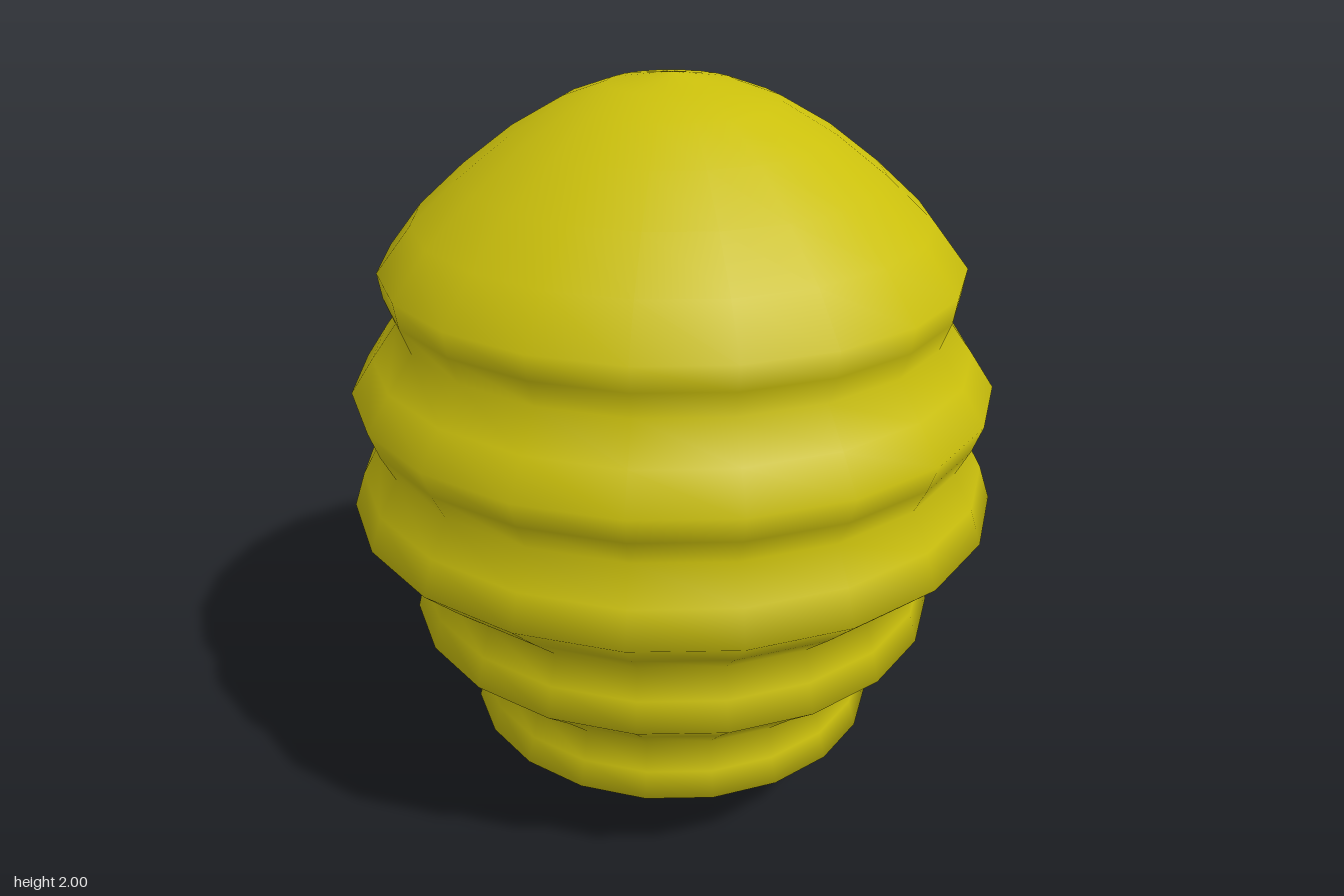
import * as THREE from 'three';

export function createModel() {
  const group = new THREE.Group();
  group.name = 'ribbedBulb';

  // Half outline [radius, height] from the bottom tip to the crown
  const profile = [
    [0, 0], [0.17, 0.05], [0.31, 0.105], [0.45, 0.17], [0.56, 0.25], // pointed base
    [0.54, 0.32], [0.52, 0.4], [0.61, 0.485], [0.71, 0.57], // first groove and rib
    [0.69, 0.65], [0.665, 0.73], [0.755, 0.81], [0.85, 0.9], // second groove and rib
    [0.82, 0.99], [0.77, 1.08], [0.805, 1.15], [0.83, 1.22], // third groove and rib
    [0.77, 1.31], [0.705, 1.4], [0.73, 1.47], [0.74, 1.535], // fourth groove and rib
    [0.65, 1.65], [0.53, 1.76], [0.4, 1.86], [0.27, 1.935], [0.16, 1.975], [0, 2], // dome
  ].map(([r, y]) => new THREE.Vector2(r, y));

  // Ribbed body, 20 sided with smooth shading, slightly deeper than wide
  const body = new THREE.Mesh(
    new THREE.LatheGeometry(profile, 20),
    new THREE.MeshStandardMaterial({ color: 0xcabf0c })
  );
  body.name = 'ribbedBody';
  body.scale.z = 1.01;
  group.add(body);

  return group;
}
